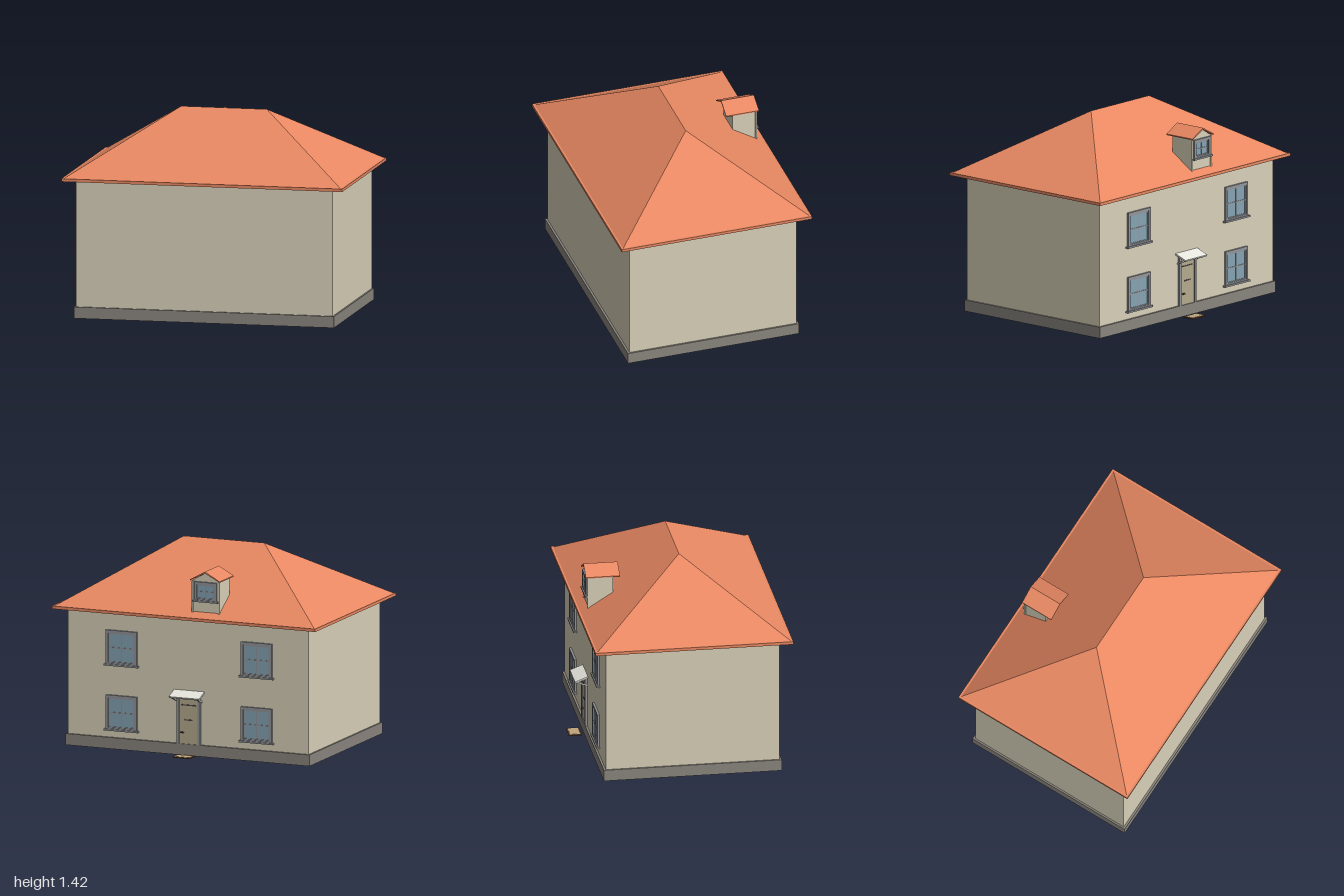
import * as THREE from 'three';

const mat = (color) => new THREE.MeshStandardMaterial({ color, flatShading: true });
const M = {
  wall: mat(0xd8d1b9), base: mat(0x8a857e), roof: mat(0xe88862), frame: mat(0x94959a),
  glass: mat(0x86a4b4), door: mat(0xb5ab8e), canopy: mat(0xe6e5dd), dark: mat(0x4f4a45),
  rug: mat(0xbfa67c), rugEdge: mat(0x6b4630),
};
const CZ = 0.02; // house centre in z
const BACK = -0.59; // plane of the facade wall

function mesh(parent, name, geo, material, x = 0, y = 0, z = 0) {
  const m = new THREE.Mesh(geo, material);
  m.name = name;
  m.position.set(x, y, z);
  parent.add(m);
  return m;
}
const box = (parent, name, material, w, h, d, x, y, z) =>
  mesh(parent, name, new THREE.BoxGeometry(w, h, d), material, x, y, z);

const extrude = (shape, depth) => new THREE.ExtrudeGeometry(shape, { depth, bevelEnabled: false });
const polygon = (pts) => new THREE.Shape(pts.map(([x, y]) => new THREE.Vector2(x, y)));
const rect = (w, h) => polygon([[-w / 2, -h / 2], [w / 2, -h / 2], [w / 2, h / 2], [-w / 2, h / 2]]);

// Rectangular ring, extruded along z
function ring(w, h, t, depth) {
  const s = rect(w, h);
  s.holes.push(rect(w - 2 * t, h - 2 * t));
  return extrude(s, depth);
}

// Group whose local +z points out of the facade
function facadeGroup(parent, name, x, y, z) {
  const g = new THREE.Group();
  g.name = name;
  g.position.set(x, y, z);
  g.rotation.y = Math.PI;
  parent.add(g);
  return g;
}

// Framed window with crossing bars and a sill; y is its bottom
function addWindow(parent, name, x, y, z, w, h) {
  const g = facadeGroup(parent, name, x, y, z);
  const t = 0.02;
  mesh(g, 'windowFrame', ring(w, h, t, 0.015), M.frame, 0, h / 2, 0);
  mesh(g, 'sash', ring(w - 2 * t, h - 2 * t, 0.007, 0.01), M.frame, 0, h / 2, 0);
  box(g, 'glass', M.glass, w - 2 * t, h - 2 * t, 0.006, 0, h / 2, 0.002);
  box(g, 'verticalBar', M.frame, 0.006, h - 2 * t, 0.008, 0, h / 2, 0.004);
  box(g, 'horizontalBar', M.frame, w - 2 * t, 0.008, 0.009, 0, h / 2, 0.004);
  box(g, 'sill', M.frame, w + 0.025, 0.012, 0.024, 0, 0.004, 0.012);
}

// Hipped roof: four corners and two ridge ends
function hipGeometry(hx, hz, ridge, y0, y1) {
  const p = [[-hx, y0, hz], [hx, y0, hz], [hx, y0, -hz], [-hx, y0, -hz], [-ridge, y1, 0], [ridge, y1, 0]];
  const faces = [0, 1, 5, 0, 5, 4, 1, 2, 5, 2, 3, 4, 2, 4, 5, 3, 0, 4, 0, 2, 1, 0, 3, 2];
  const geo = new THREE.BufferGeometry();
  geo.setAttribute('position', new THREE.Float32BufferAttribute(faces.flatMap((i) => p[i]), 3));
  geo.computeVertexNormals();
  return geo;
}

function addDoor(parent) {
  const g = facadeGroup(parent, 'entrance', -0.005, 0.08, BACK);
  const w = 0.18, h = 0.35;
  // Posts and lintel
  for (const s of [-1, 1]) box(g, 'doorPost', M.frame, 0.02, h, 0.017, s * (w / 2 - 0.01), h / 2, 0.007);
  box(g, 'lintel', M.frame, w, 0.02, 0.017, 0, h - 0.01, 0.007);
  // Leaf with rails, letter slot and handle
  box(g, 'doorLeaf', M.door, w - 0.04, h - 0.02, 0.012, 0, (h - 0.02) / 2, 0.002);
  box(g, 'doorRail', M.dark, 0.11, 0.008, 0.004, 0, 0.275, 0.009);
  box(g, 'letterSlot', M.dark, 0.06, 0.008, 0.004, 0, 0.17, 0.009);
  box(g, 'handle', M.dark, 0.022, 0.008, 0.016, -0.048, 0.08, 0.014);
  // Sloping canopy
  const canopy = box(g, 'canopy', M.canopy, 0.23, 0.012, 0.098, 0, 0.355, 0.043);
  canopy.rotation.x = 0.37;
  // Diagonal braces
  for (const s of [-1, 1]) {
    const brace = box(g, 'canopyBrace', M.canopy, 0.012, 0.01, 0.09, s * 0.095, 0.32, 0.042);
    brace.rotation.x = -0.37;
  }
}

function addDormer(parent) {
  const g = new THREE.Group();
  g.name = 'dormer';
  g.position.set(-0.14, 0, 0);
  parent.add(g);
  const hw = 0.104;
  // Gabled body reaching down into the main roof
  const body = polygon([[-hw, 1.0], [hw, 1.0], [hw, 1.246], [0, 1.306], [-hw, 1.246]]);
  mesh(g, 'dormerBody', extrude(body, 0.17), M.wall, 0, 0, -0.605);
  // Two thin slopes
  const slopes = polygon([[-0.112, 1.247], [0, 1.305], [0.112, 1.247], [0.112, 1.255], [0, 1.316], [-0.112, 1.255]]);
  mesh(g, 'dormerRoof', extrude(slopes, 0.24), M.roof, 0, 0, -0.625);
  // Corner trims beside the window
  for (const s of [-1, 1]) box(g, 'cornerTrim', M.wall, 0.012, 0.24, 0.012, s * 0.1, 1.125, -0.606);
  addWindow(g, 'dormerWindow', 0, 1.1, -0.605, 0.17, 0.14);
}

export function createModel() {
  const house = new THREE.Group();
  house.name = 'house';

  // Plinth and walls
  box(house, 'plinth', M.base, 1.85, 0.08, 1.25, 0, 0.04, CZ);
  box(house, 'walls', M.wall, 1.826, 0.91, 1.22, 0, 0.535, CZ);

  // Hipped roof above a fascia that hangs below the soffit
  mesh(house, 'roof', hipGeometry(0.99, 0.685, 0.305, 0.988, 1.416), M.roof, 0, 0, CZ);
  const fascia = mesh(house, 'fascia', ring(2, 1.39, 0.02, 0.021), M.roof, 0, 0.991, CZ);
  fascia.rotation.x = Math.PI / 2;

  addDormer(house);

  // Two windows on each floor
  for (const x of [-0.52, 0.505])
    for (const [floor, y] of [['lower', 0.13], ['upper', 0.59]])
      addWindow(house, floor + 'Window', x, y, BACK, 0.235, 0.25);

  addDoor(house);

  // Doormat lying in front of the door
  box(house, 'doormatBorder', M.rugEdge, 0.135, 0.006, 0.09, 0, 0.003, -0.67);
  box(house, 'doormat', M.rug, 0.115, 0.004, 0.07, 0, 0.006, -0.67);

  return house;
}
